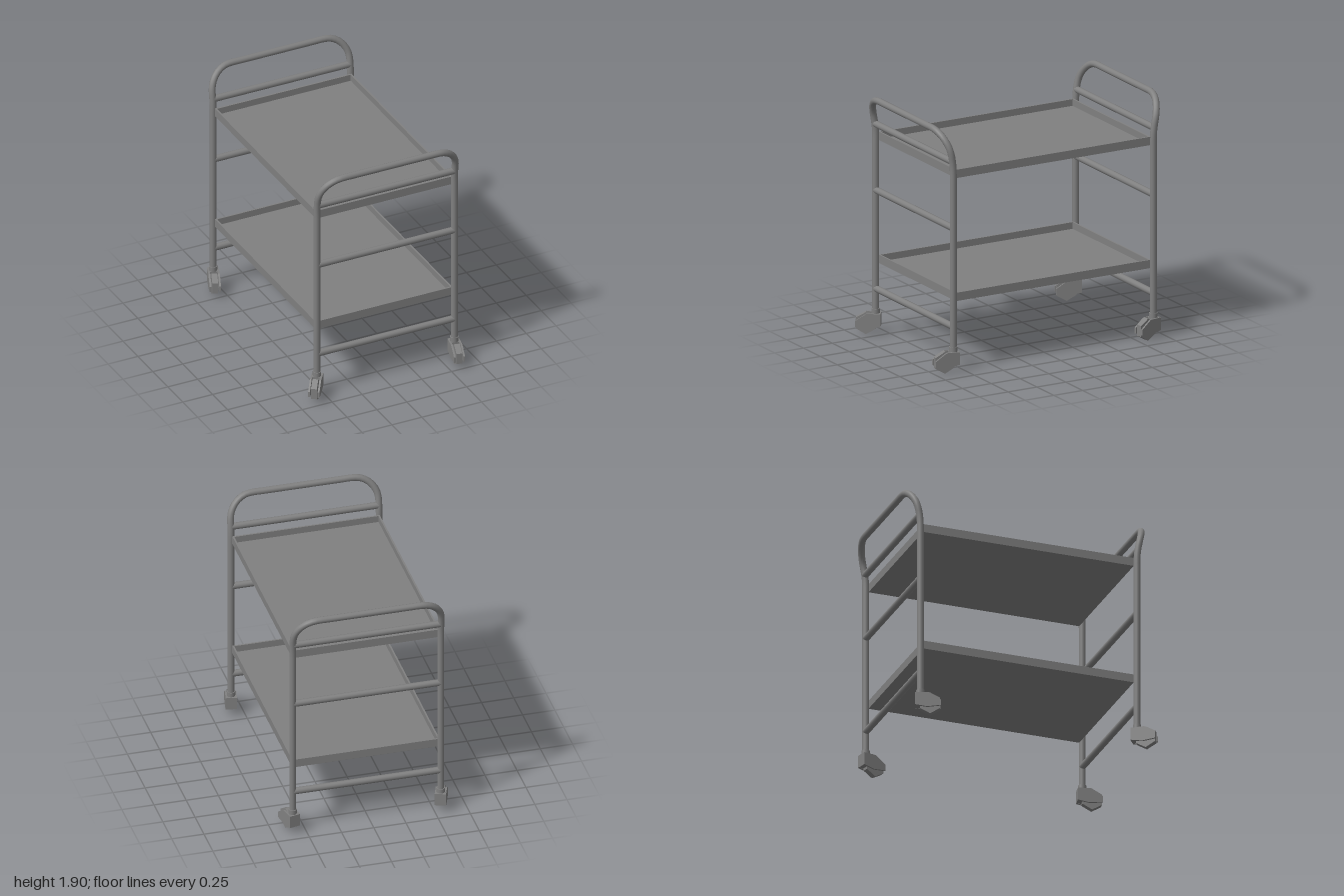
import * as THREE from 'three';

const CX = 0.025, HALF = 0.575, FRONT = 0.845, BACK = -0.89, R = 0.026;

const steel = new THREE.MeshStandardMaterial({ color: 0x808080 });
steel.name = 'grey steel';

function add(parent, name, geometry, x = 0, y = 0, z = 0) {
  const mesh = new THREE.Mesh(geometry, steel);
  mesh.name = name;
  mesh.position.set(x, y, z);
  parent.add(mesh);
  return mesh;
}

// One end of the trolley: a bent hoop for legs and push handle, plus three rungs
function endFrame(name, z, side) {
  const group = new THREE.Group();
  group.name = name;
  const lean = y => side * 0.73 * Math.max(0, y - 1.55) ** 2;
  const half = [];
  for (const y of [0.16, 0.6, 1.1, 1.5, 1.55, 1.6, 1.65]) half.push([HALF, y]);
  const bend = 0.18, top = 1.875;
  for (let i = 0; i <= 6; i++) {
    const a = i / 6 * Math.PI / 2;
    half.push([HALF - bend + bend * Math.cos(a), top - bend + bend * Math.sin(a)]);
  }
  half.push([0.3, top]);
  const points = [...half, ...half.slice().reverse().map(([x, y]) => [-x, y])]
    .map(([x, y]) => new THREE.Vector3(CX + x, y, z + lean(y)));
  const path = new THREE.CatmullRomCurve3(points, false, 'centripetal');
  add(group, 'legsAndHandle', new THREE.TubeGeometry(path, 120, R, 12));
  for (const y of [0.355, 1.125, 1.645]) {
    const rung = add(group, 'rung', new THREE.CylinderGeometry(R, R, HALF * 2, 12), CX, y, z + lean(y));
    rung.rotation.z = Math.PI / 2;
  }
  return group;
}

// Open tray: thin floor with a raised rim
function tray(name, y) {
  const group = new THREE.Group();
  group.name = name;
  const z0 = -0.868, z1 = 0.82, w = HALF * 2 - 0.005, d = z1 - z0, h = 0.065, t = 0.013;
  const cz = (z0 + z1) / 2;
  add(group, 'trayFloor', new THREE.BoxGeometry(w, t, d), CX, y + t / 2, cz);
  for (const s of [-1, 1]) {
    add(group, 'sideRim', new THREE.BoxGeometry(t, h, d), CX + s * (w - t) / 2, y + h / 2, cz);
    add(group, 'endRim', new THREE.BoxGeometry(w - 2 * t, h, t), CX, y + h / 2, cz + s * (d - t) / 2);
  }
  return group;
}

// Swivel caster trailing along its local +x
function caster(x, z, dx, dz) {
  const group = new THREE.Group();
  group.name = 'caster';
  group.position.set(x, 0, z);
  group.rotation.y = Math.atan2(-dz, dx);

  add(group, 'collar', new THREE.CylinderGeometry(0.032, 0.032, 0.045, 12), 0, 0.177, 0);
  add(group, 'forkBridge', new THREE.BoxGeometry(0.07, 0.1, 0.07), -0.005, 0.114, 0);

  const outline = [[-0.04, 0.065], [0.05, 0.048], [0.152, 0.06], [0.152, 0.105], [0.065, 0.165], [-0.04, 0.163]];
  const shape = new THREE.Shape(outline.map(p => new THREE.Vector2(...p)));
  const plate = new THREE.ExtrudeGeometry(shape, { depth: 0.014, bevelEnabled: false });
  plate.translate(0, 0, -0.007);
  for (const s of [-1, 1]) add(group, 'forkPlate', plate, 0, 0, s * 0.036);

  // Six-sided wheel standing on one corner
  const wheel = new THREE.CylinderGeometry(0.086, 0.086, 0.044, 6).toNonIndexed();
  wheel.rotateX(Math.PI / 2);
  wheel.computeVertexNormals();
  add(group, 'wheel', wheel, 0.072, 0.086, 0);
  const axle = add(group, 'axle', new THREE.CylinderGeometry(0.014, 0.014, 0.08, 8), 0.072, 0.086, 0);
  axle.rotation.x = Math.PI / 2;
  return group;
}

export function createModel() {
  const model = new THREE.Group();
  model.name = 'trolley';
  model.add(endFrame('frontFrame', FRONT, 1), endFrame('backFrame', BACK, -1));
  model.add(tray('lowerTray', 0.55), tray('upperTray', 1.512));

  // Casters, each swivelled a little differently
  const L = CX + HALF, Rt = CX - HALF;
  model.add(
    caster(Rt, BACK, -0.055, 0.15),
    caster(L, BACK, 0.035, 0.15),
    caster(Rt, FRONT, -0.1, 0.14),
    caster(L, FRONT, -0.03, 0.15)
  );
  return model;
}
